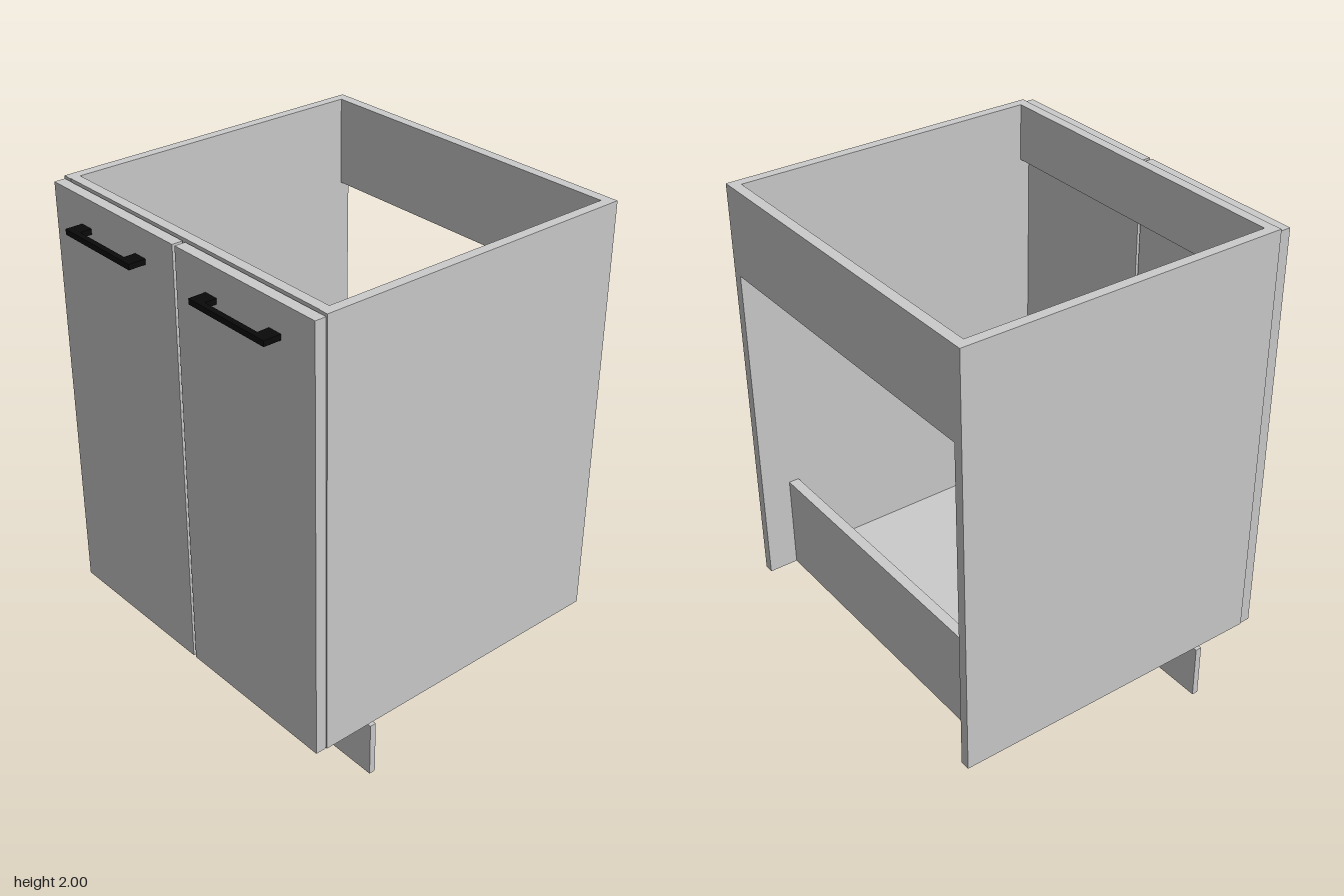
import * as THREE from 'three';

const grey = new THREE.MeshStandardMaterial({ color: 0xcccccc });
const black = new THREE.MeshStandardMaterial({ color: 0x0a0a0a });

// Box given by its extents along each axis
function board(name, [x0, x1], [y0, y1], [z0, z1], material = grey) {
  const mesh = new THREE.Mesh(new THREE.BoxGeometry(x1 - x0, y1 - y0, z1 - z0), material);
  mesh.position.set((x0 + x1) / 2, (y0 + y1) / 2, (z0 + z1) / 2);
  mesh.name = name;
  return mesh;
}

// Extents mirrored to the chosen side of x = 0
const mirrored = (side, a, b) => (side > 0 ? [a, b] : [-b, -a]);

export function createModel() {
  const cabinet = new THREE.Group();
  cabinet.name = 'baseCabinet';

  const inner = [-0.69, 0.69];

  // Carcass: floor, open back with two rails, front rail, recessed plinth
  cabinet.add(
    board('bottomPanel', inner, [0.25, 0.29], [-0.565, 0.61]),
    board('upperBackRail', inner, [1.64, 2], [-0.73, -0.688]),
    board('lowerBackRail', inner, [0.25, 0.655], [-0.608, -0.565]),
    board('frontRail', inner, [1.765, 2], [0.57, 0.61]),
    board('plinth', [-0.73, 0.73], [0, 0.233], [0.374, 0.4])
  );

  for (const side of [1, -1]) {
    const label = side > 0 ? 'left' : 'right';
    cabinet.add(
      board(label + 'SidePanel', mirrored(side, 0.69, 0.73), [0.25, 2], [-0.73, 0.612]),
      board(label + 'Door', mirrored(side, 0.007, 0.726), [0.25, 1.99], [0.614, 0.658])
    );

    // Handle: slim bar on two posts
    const handle = new THREE.Group();
    handle.name = label + 'Handle';
    const y = [1.858, 1.88];
    handle.add(
      board('handleBar', mirrored(side, 0.17, 0.561), y, [0.705, 0.728], black),
      board('innerPost', mirrored(side, 0.17, 0.23), y, [0.658, 0.705], black),
      board('outerPost', mirrored(side, 0.501, 0.561), y, [0.658, 0.705], black)
    );
    cabinet.add(handle);
  }

  return cabinet;
}
